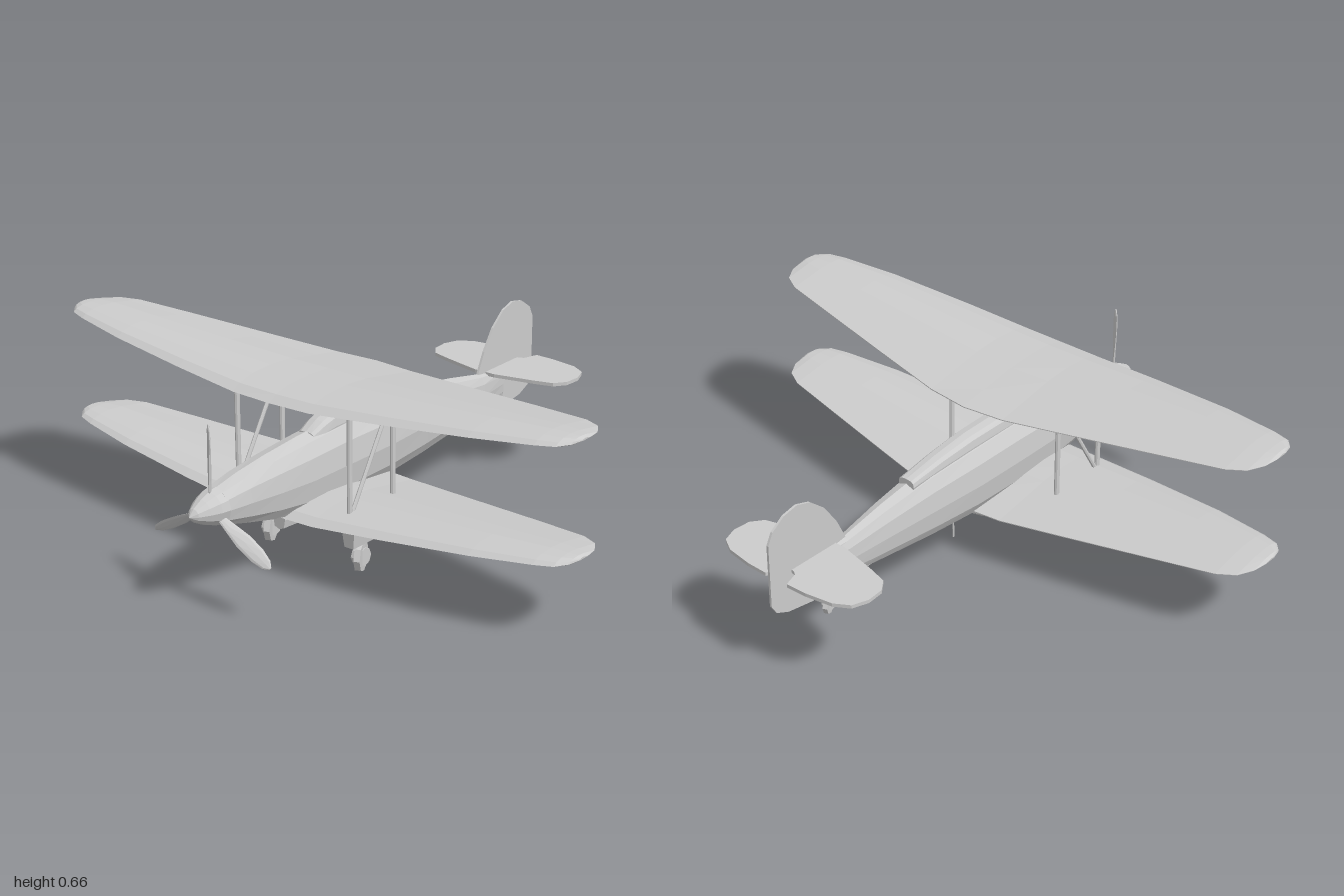
import * as THREE from 'three';

const material = new THREE.MeshStandardMaterial({ color: 0xcccccc, flatShading: true, side: THREE.DoubleSide });

function add(parent, name, geometry, x = 0, y = 0, z = 0) {
  const mesh = new THREE.Mesh(geometry, material);
  mesh.name = name;
  mesh.position.set(x, y, z);
  parent.add(mesh);
  return mesh;
}

// Skin over a row of equal-length rings of [x, y, z], closed at both ends
function loft(rings) {
  const n = rings[0].length, index = [];
  const last = (rings.length - 1) * n;
  for (let i = 0; i < rings.length - 1; i++) {
    for (let j = 0; j < n; j++) {
      const a = i * n + j, b = i * n + (j + 1) % n;
      index.push(a, b, a + n, b, b + n, a + n);
    }
  }
  for (let j = 1; j < n - 1; j++) {
    index.push(0, j + 1, j);
    index.push(last, last + j, last + j + 1);
  }
  const g = new THREE.BufferGeometry();
  g.setAttribute('position', new THREE.Float32BufferAttribute(rings.flat(2), 3));
  g.setIndex(index);
  g.computeVertexNormals();
  return g;
}

// Oval body along z from stations [z, bottom, top, halfWidth]
function body(stations, sides = 12, power = 0.85) {
  const soft = v => Math.sign(v) * Math.abs(v) ** power;
  return loft(stations.map(([z, lo, hi, w]) => Array.from({ length: sides }, (_, j) => {
    const a = (j / sides) * Math.PI * 2;
    return [w * soft(Math.cos(a)), (lo + hi) / 2 + (hi - lo) / 2 * soft(Math.sin(a)), z];
  })));
}

// Tapered box standing along y from levels [y, halfWidth, zFront, zBack]
function taperedBox(levels) {
  return loft(levels.map(([y, w, f, b]) => [[w, y, f], [w, y, b], [-w, y, b], [-w, y, f]]));
}

// Cambered wing with rounded tips and slight dihedral
function wingGeometry() {
  // x, trailing z, leading z, rise, thickness
  const half = [
    [0, -0.005, 0.52, 0, 0.052], [0.15, 0.01, 0.517, 0.002, 0.052], [0.4, 0.055, 0.495, 0.022, 0.045],
    [0.7, 0.11, 0.46, 0.047, 0.036], [0.9, 0.148, 0.42, 0.063, 0.028],
    [0.96, 0.18, 0.4, 0.068, 0.023], [0.99, 0.23, 0.365, 0.073, 0.016], [1, 0.28, 0.325, 0.077, 0.006],
  ];
  const stations = [...half.slice(1).reverse().map(([x, ...r]) => [-x, ...r]), ...half];
  // chord fraction from the trailing edge, height
  const section = [[0, 0.06], [0.2, 0.4], [0.45, 0.85], [0.65, 1], [0.82, 0.93], [0.94, 0.65],
    [1, 0.25], [0.94, 0.08], [0.65, 0.04], [0.3, 0.02], [0, 0]];
  return loft(stations.map(([x, t, l, rise, h]) => section.map(([u, v]) => [x, rise + v * h, t + (l - t) * u])));
}

// Thin slab from an outline, centred on its thickness
function slab(points, depth) {
  const shape = new THREE.Shape(points.map(p => new THREE.Vector2(...p)));
  return new THREE.ExtrudeGeometry(shape, { depth, bevelEnabled: false }).translate(0, 0, -depth / 2);
}

// Streamlined rod between two points
function rod(parent, name, from, to, width, length) {
  const a = new THREE.Vector3(...from), b = new THREE.Vector3(...to);
  const mesh = add(parent, name, new THREE.CylinderGeometry(1, 1, a.distanceTo(b), 8).scale(width, 1, length));
  mesh.position.copy(a).add(b).multiplyScalar(0.5);
  mesh.quaternion.setFromUnitVectors(new THREE.Vector3(0, 1, 0), b.sub(a).normalize());
}

function wheel(parent, name, x, y, z, r, width) {
  const group = new THREE.Group();
  group.name = name;
  group.position.set(x, y, z);
  add(group, 'tyre', new THREE.CylinderGeometry(r, r, width * 0.6, 8).rotateX(Math.PI / 8).rotateZ(Math.PI / 2));
  add(group, 'hub', new THREE.CylinderGeometry(r * 0.6, r * 0.6, width, 8).rotateZ(Math.PI / 2));
  parent.add(group);
}

function propeller() {
  const group = new THREE.Group();
  group.name = 'propeller';
  group.position.set(0, 0.332, 0.795);
  const profile = [[0, -0.025], [0.06, -0.025], [0.055, 0.005], [0.041, 0.04], [0.022, 0.075], [0, 0.095]];
  add(group, 'spinner', new THREE.LatheGeometry(profile.map(p => new THREE.Vector2(...p)), 12).rotateX(Math.PI / 2));
  // radius, chord, pitch
  const stations = [[0.03, 0.018, 1.1], [0.09, 0.036, 1], [0.15, 0.052, 0.85],
    [0.21, 0.05, 0.75], [0.25, 0.034, 0.7], [0.268, 0.008, 0.7]];
  const blade = loft(stations.map(([y, c, pitch]) => Array.from({ length: 8 }, (_, j) => {
    const a = (j / 8) * Math.PI * 2;
    const u = Math.cos(a) * c / 2, v = -Math.sin(a) * (0.002 + c * 0.07);
    return [u * Math.cos(pitch) - v * Math.sin(pitch), y, u * Math.sin(pitch) + v * Math.cos(pitch)];
  })));
  for (let i = 0; i < 3; i++) add(group, 'blade', blade).rotation.z = i * Math.PI * 2 / 3;
  return group;
}

export function createModel() {
  const model = new THREE.Group();
  model.name = 'biplane';

  add(model, 'fuselage', body([
    [-0.71, 0.233, 0.345, 0.012], [-0.57, 0.22, 0.362, 0.033], [-0.4, 0.203, 0.396, 0.05],
    [-0.2, 0.185, 0.427, 0.068], [0, 0.172, 0.44, 0.079], [0.2, 0.17, 0.446, 0.081],
    [0.4, 0.18, 0.436, 0.078], [0.55, 0.208, 0.424, 0.073], [0.68, 0.243, 0.408, 0.066], [0.775, 0.271, 0.389, 0.057],
  ]));
  add(model, 'canopy', body([
    [-0.28, 0.39, 0.432, 0.032], [-0.15, 0.39, 0.455, 0.036], [0, 0.39, 0.473, 0.04],
    [0.25, 0.39, 0.48, 0.042], [0.3, 0.39, 0.464, 0.04], [0.35, 0.39, 0.438, 0.034],
  ], 12, 0.7));

  // Wings
  const wing = wingGeometry();
  add(model, 'upperWing', wing, 0, 0.57, 0);
  add(model, 'lowerWing', wing, 0, 0.194, -0.01);

  // Tail surfaces
  add(model, 'finAndRudder', slab([
    [0.38, 0.203], [0.62, 0.194], [0.72, 0.2], [0.82, 0.216], [0.87, 0.238], [0.89, 0.27], [0.89, 0.49],
    [0.87, 0.53], [0.82, 0.564], [0.765, 0.575], [0.71, 0.558], [0.65, 0.508], [0.6, 0.435], [0.565, 0.362], [0.5, 0.3],
  ], 0.008).rotateY(Math.PI / 2));
  const tailHalf = [[0.012, 0.8], [0.028, 0.81], [0.045, 0.862], [0.12, 0.86], [0.215, 0.845], [0.265, 0.815],
    [0.285, 0.76], [0.28, 0.7], [0.25, 0.66], [0.18, 0.64], [0.04, 0.608]];
  const tailOutline = [...tailHalf, ...tailHalf.map(([x, y]) => [-x, y]).reverse()];
  add(model, 'tailplane', slab(tailOutline, 0.012).rotateX(-Math.PI / 2), 0, 0.354, 0);

  model.add(propeller());

  // Belly scoop, chin intake and aerial
  add(model, 'bellyScoop', body([[0.02, 0.16, 0.2, 0.035], [0.06, 0.13, 0.2, 0.042],
    [0.12, 0.12, 0.2, 0.045], [0.235, 0.124, 0.2, 0.045]], 12, 0.6));
  add(model, 'chinIntake', body([[0.39, 0.158, 0.22, 0.018], [0.42, 0.148, 0.22, 0.024], [0.485, 0.152, 0.225, 0.024]], 8, 0.7));
  rod(model, 'aerial', [0, 0.098, -0.055], [0, 0.18, -0.055], 0.003, 0.003);

  for (const s of [1, -1]) {
    // Wing struts
    const x = s * 0.227;
    rod(model, 'frontStrut', [x, 0.22, 0.415], [x, 0.588, 0.415], 0.008, 0.01);
    rod(model, 'rearStrut', [x, 0.22, 0.2], [x, 0.588, 0.2], 0.008, 0.01);
    rod(model, 'diagonalStrut', [x, 0.24, 0.405], [x, 0.575, 0.2], 0.006, 0.008);

    // Main landing gear
    const gx = s * 0.186;
    add(model, 'gearFairing', taperedBox([[0.098, 0.018, 0.37, 0.24], [0.16, 0.025, 0.375, 0.222],
      [0.215, 0.028, 0.38, 0.2]]), gx);
    rod(model, 'gearLeg', [gx, 0.05, 0.31], [gx, 0.11, 0.31], 0.014, 0.014);
    wheel(model, 'mainWheel', gx, 0.051, 0.31, 0.051, 0.034);
  }

  // Tail wheel
  rod(model, 'tailWheelLeg', [0, 0.15, -0.645], [0, 0.215, -0.62], 0.008, 0.014);
  wheel(model, 'tailWheel', 0, 0.15, -0.645, 0.033, 0.026);

  return model;
}
